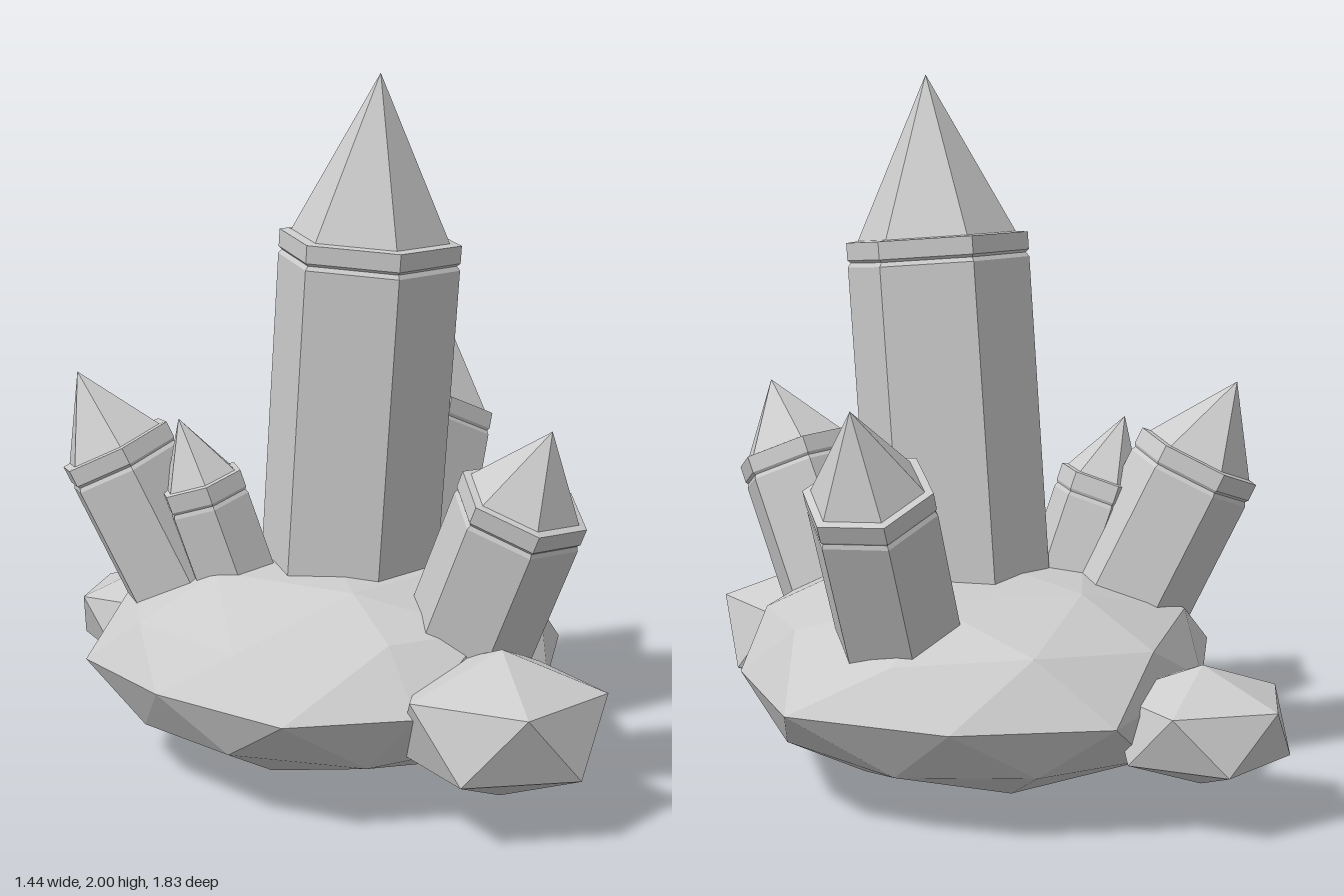
import * as THREE from 'three';
import { ConvexGeometry } from 'three/addons/geometries/ConvexGeometry.js';

const stone = new THREE.MeshStandardMaterial({ color: 0xcccccc, flatShading: true });
stone.name = 'pale grey stone';

function part(name, geometry) {
  const mesh = new THREE.Mesh(geometry, stone);
  mesh.name = name;
  return mesh;
}

// Ring of points around (cx, cz): angles in degrees, measured from +x towards +z
function ring(cx, cz, y, rx, rz, count, start) {
  return Array.from({ length: count }, (_, i) => {
    const a = THREE.MathUtils.degToRad(start + i * 360 / count);
    return new THREE.Vector3(cx + rx * Math.cos(a), y, cz + rz * Math.sin(a));
  });
}

// Wide faceted bedrock: rings of a squashed icosphere with an uneven equator
function bedrock() {
  const cx = 0.05, cz = -0.06, y = 0.33, rx = 0.7, rz = 0.77, ry = 0.31;
  const layer = (r, h, count, start) => ring(cx, cz, y + h * ry, rx * r, rz * r, count, start);
  const equator = [
    [-0.10, -0.84], [0.33, -0.77], [0.70, -0.48], [0.73, 0.0], [0.58, 0.39],
    [0.13, 0.70], [-0.23, 0.70], [-0.52, 0.35], [-0.68, -0.02], [-0.50, -0.43],
  ].map(([x, z]) => new THREE.Vector3(x, y, z));
  const upper = layer(0.87, 0.45, 5, 93);
  upper[0].set(0.09, 0.49, 0.54);
  const upperMid = layer(0.84, 0.54, 5, 129);
  upperMid[0].set(-0.32, 0.46, 0.45);
  return new ConvexGeometry([
    ...equator, ...upper, ...upperMid,
    ...layer(0.53, 0.83, 5, 93),
    ...layer(0.88, -0.47, 5, 129),
    ...layer(0.85, -0.53, 5, 93),
    ...layer(0.53, -0.88, 5, 129),
    new THREE.Vector3(0.04, 0.62, -0.03),
    new THREE.Vector3(0.06, 0.005, -0.04),
  ]);
}

// Small twenty-sided boulder
function boulder(x, y, z, r, ry, start) {
  return new ConvexGeometry([
    ...ring(x, z, y + ry * 0.47, r, r, 5, start),
    ...ring(x, z, y - ry * 0.47, r * 0.97, r * 0.97, 5, start + 36),
    new THREE.Vector3(x, y + ry, z),
    new THREE.Vector3(x, y - ry, z),
  ]);
}

// Six-sided crystal: shaft, bevelled collar, ledge and point
function crystal(name, base, tip, r, pointLength, turn) {
  const from = new THREE.Vector3(...base);
  const axis = new THREE.Vector3(...tip).sub(from);
  const length = axis.length();
  const top = length - pointLength;
  const inset = r * 0.965;
  const profile = [
    [0, 0], [r, 0], [r, top - 0.07], [inset, top - 0.058],
    [r, top - 0.05], [r, top], [r * 0.87, top + 0.003], [0, length],
  ].map(([x, y]) => new THREE.Vector2(x, y));
  const geometry = new THREE.LatheGeometry(profile, 6);
  geometry.rotateY(THREE.MathUtils.degToRad(turn));
  const mesh = part(name, geometry);
  mesh.position.copy(from);
  mesh.quaternion.setFromUnitVectors(new THREE.Vector3(0, 1, 0), axis.normalize());
  return mesh;
}

export function createModel() {
  const group = new THREE.Group();
  group.name = 'crystalCluster';
  group.add(
    part('bedrock', bedrock()),
    part('frontBoulder', boulder(0.38, 0.285, 0.63, 0.285, 0.205, 91)),
    part('backBoulder', boulder(-0.4, 0.275, -0.68, 0.245, 0.165, -50)),
    crystal('mainCrystal', [0.08, 0.35, -0.03], [0.155, 2, 0.1], 0.262, 0.46, 7),
    crystal('frontLeftCrystal', [0.31, 0.3, 0.325], [0.515, 1.075, 0.61], 0.185, 0.22, 0),
    crystal('backLeftCrystal', [0.32, 0.35, -0.33], [0.55, 1.16, -0.635], 0.18, 0.25, -2),
    crystal('rightCrystal', [-0.3, 0.35, -0.14], [-0.672, 1.135, -0.235], 0.182, 0.24, 3),
    crystal('smallRightCrystal', [-0.19, 0.4, -0.03], [-0.4, 1.02, -0.05], 0.13, 0.19, 0),
  );
  return group;
}
